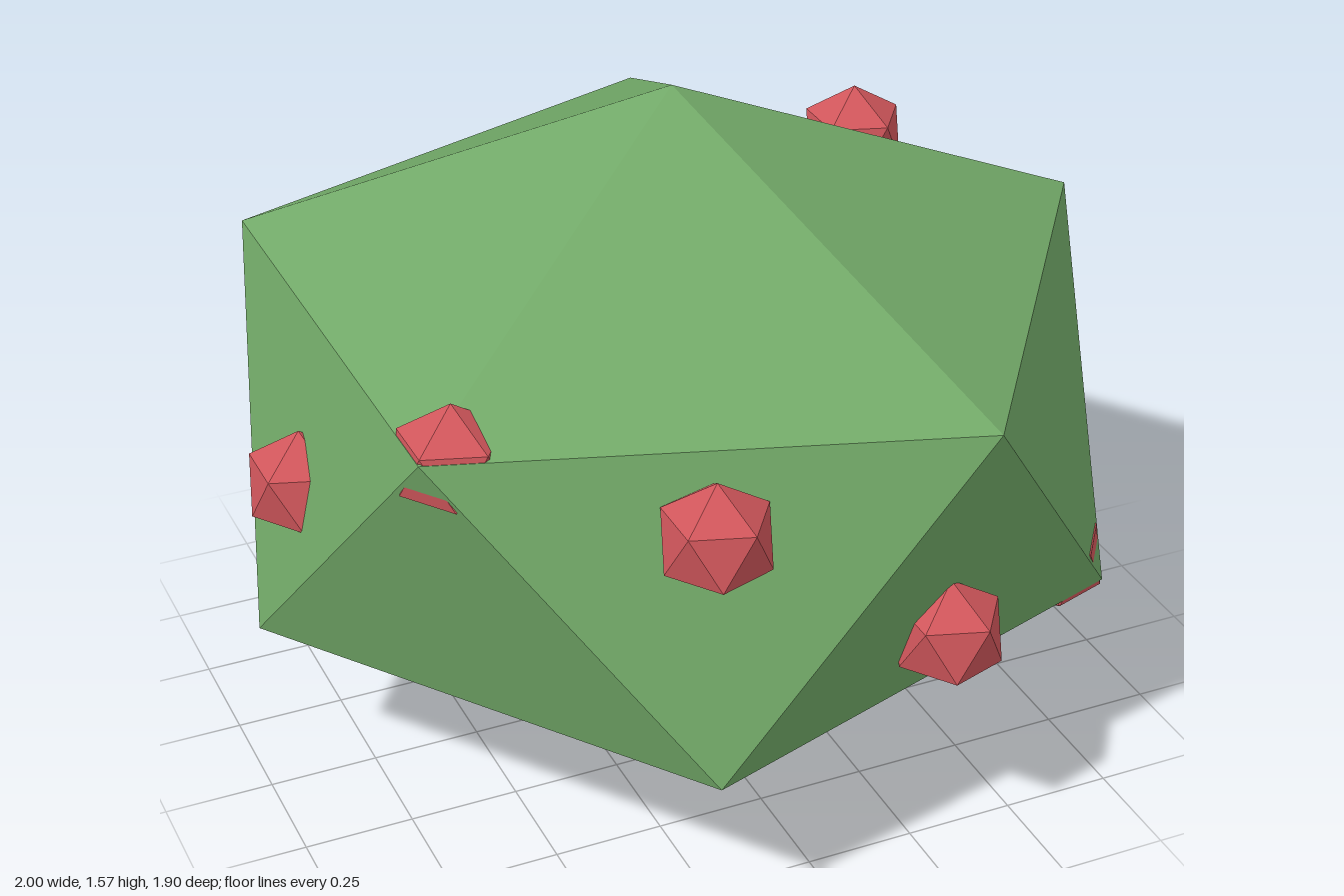
import * as THREE from 'three';

const CENTRE_Y = 0.783;

// Faceted ball with a corner straight up and an upper-ring corner toward +x
function poleIcosahedron(radius, squash = 1) {
  const g = new THREE.IcosahedronGeometry(radius, 0);
  g.rotateZ(-Math.atan(2 / (1 + Math.sqrt(5))));
  g.scale(1, squash, 1);
  return g;
}

export function createModel() {
  const model = new THREE.Group();
  model.name = 'berryBush';

  const leafGreen = new THREE.MeshStandardMaterial({ color: 0x72a968 });
  leafGreen.name = 'leafGreen';
  const berryRed = new THREE.MeshStandardMaterial({ color: 0xd0565b });
  berryRed.name = 'berryRed';

  // Squashed foliage whose corner rings have radius 1
  const foliage = new THREE.Mesh(poleIcosahedron(Math.sqrt(5) / 2, 0.7), leafGreen);
  foliage.name = 'foliage';
  foliage.position.y = CENTRE_Y;
  model.add(foliage);

  // Ten berries around the bush, their height following a double wave
  const berries = new THREE.Group();
  berries.name = 'berries';
  const berryGeometry = poleIcosahedron(0.13);
  for (let i = 0; i < 10; i++) {
    const a = (i / 10) * Math.PI * 2;
    const berry = new THREE.Mesh(berryGeometry, berryRed);
    berry.name = `berry${i + 1}`;
    berry.position.set(0.88 * Math.cos(a), CENTRE_Y - 0.32 * Math.sin(2 * a), 0.88 * Math.sin(a));
    berries.add(berry);
  }
  model.add(berries);

  return model;
}
